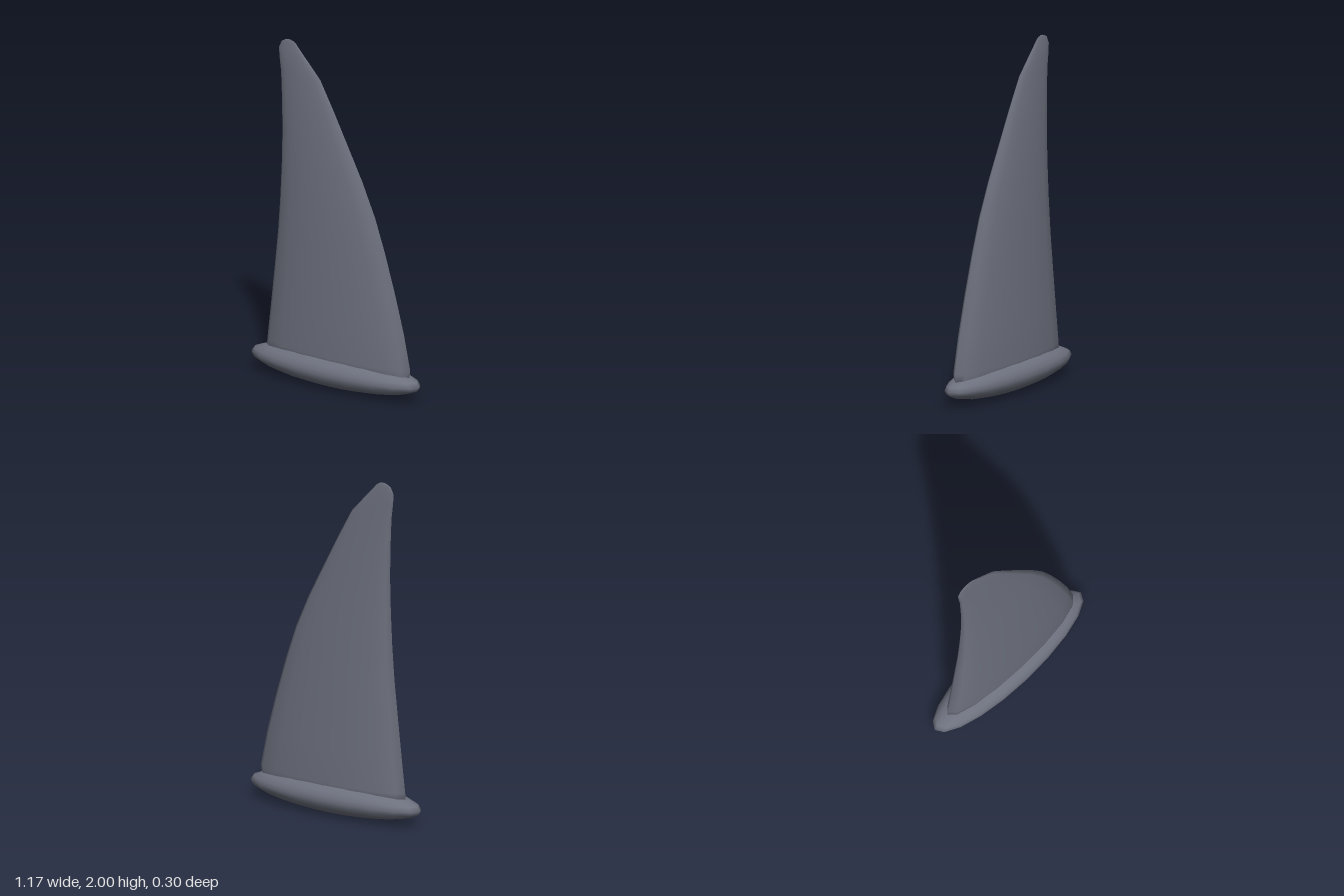
import * as THREE from 'three';

// Closed skin through elliptical rings: [y, left x, right x, half thickness]
function loft(rings, sides) {
  const pos = [], index = [];
  for (const [y, left, right, depth] of rings) {
    const cx = (left + right) / 2, rx = (right - left) / 2;
    for (let i = 0; i < sides; i++) {
      const a = (i / sides) * Math.PI * 2;
      pos.push(cx + rx * Math.cos(a), y, depth * Math.sin(a));
    }
  }
  for (let r = 0; r < rings.length - 1; r++) {
    for (let i = 0; i < sides; i++) {
      const a = r * sides + i, b = r * sides + (i + 1) % sides;
      index.push(a, a + sides, b, b, a + sides, b + sides);
    }
  }
  // bottom and top caps
  const top = (rings.length - 1) * sides;
  for (let i = 1; i < sides - 1; i++) {
    index.push(0, i, i + 1, top, top + i + 1, top + i);
  }
  const g = new THREE.BufferGeometry();
  g.setAttribute('position', new THREE.Float32BufferAttribute(pos, 3));
  g.setIndex(index);
  g.computeVertexNormals();
  return g;
}

export function createModel() {
  const group = new THREE.Group();
  group.name = 'dorsalFin';
  const skin = new THREE.MeshStandardMaterial({ color: 0x6d717e });
  skin.name = 'slate grey skin';

  // Swept blade, thinning towards a rounded tip
  const blade = new THREE.Mesh(loft([
    [0.10, -0.49, 0.51, 0.095],
    [0.19, -0.48, 0.52, 0.1],
    [0.40, -0.455, 0.475, 0.092],
    [0.62, -0.43, 0.415, 0.083],
    [0.85, -0.405, 0.345, 0.073],
    [1.05, -0.39, 0.275, 0.064],
    [1.25, -0.38, 0.185, 0.053],
    [1.45, -0.375, 0.08, 0.042],
    [1.63, -0.378, -0.015, 0.032],
    [1.80, -0.385, -0.11, 0.021],
    [1.88, -0.395, -0.185, 0.016],
    [1.94, -0.4, -0.242, 0.011],
    [1.982, -0.38, -0.28, 0.006],
    [1.995, -0.355, -0.3, 0.003],
    [2.0, -0.335, -0.32, 0.001],
  ], 16), skin);
  blade.name = 'finBlade';
  group.add(blade);

  // Flattened oval collar at the root
  const base = new THREE.Mesh(new THREE.SphereGeometry(1, 20, 12), skin);
  base.name = 'finBase';
  base.scale.set(0.585, 0.1, 0.152);
  base.position.y = 0.1;
  group.add(base);

  return group;
}
